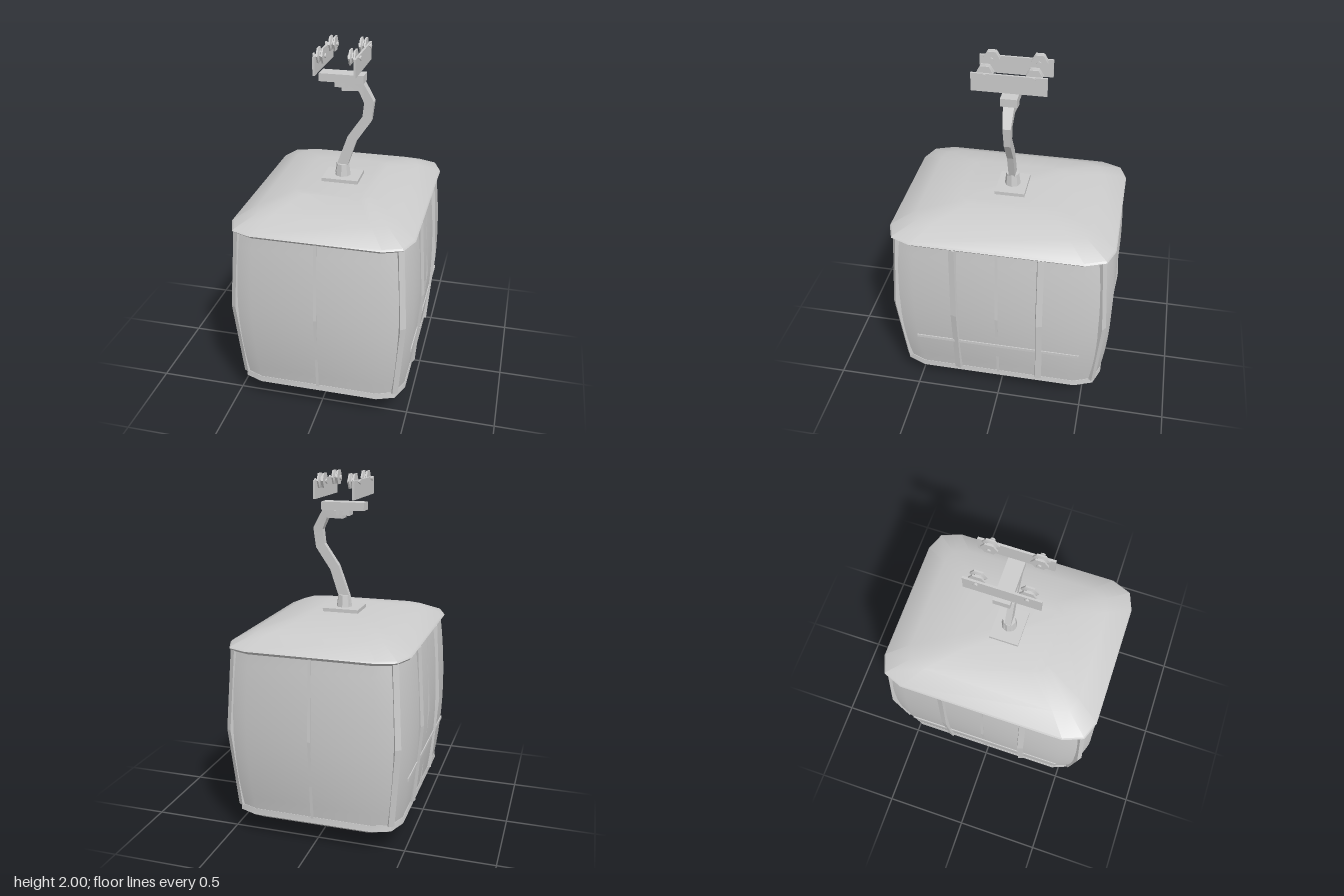
import * as THREE from 'three';
import { toCreasedNormals } from 'three/addons/utils/BufferGeometryUtils.js';

const mat = new THREE.MeshStandardMaterial({ color: 0xcccccc });

function add(parent, name, geo, x = 0, y = 0, z = 0) {
  const m = new THREE.Mesh(geo, mat);
  m.name = name;
  m.position.set(x, y, z);
  parent.add(m);
  return m;
}

// Closed skin over equal-length cross-sections, listed from bottom to top
function loft(sections, crease) {
  const pos = [];
  const tri = (...pts) => pts.forEach((p) => pos.push(p[0], p[1], p[2]));
  const n = sections[0].length;
  for (let s = 0; s < sections.length - 1; s++) {
    for (let i = 0; i < n; i++) {
      const j = (i + 1) % n, lo = sections[s], hi = sections[s + 1];
      tri(lo[i], lo[j], hi[j]);
      tri(lo[i], hi[j], hi[i]);
    }
  }
  const first = sections[0], last = sections[sections.length - 1];
  for (let i = 1; i < n - 1; i++) {
    tri(first[0], first[i + 1], first[i]);
    tri(last[0], last[i], last[i + 1]);
  }
  const geo = new THREE.BufferGeometry();
  geo.setAttribute('position', new THREE.Float32BufferAttribute(pos, 3));
  return toCreasedNormals(geo, crease);
}

// Rectangle with faceted corners at height y
function ring(hx, hz, y) {
  const k = hx / 0.51;
  const a = [hx - 0.15 * k, hz], b = [hx - 0.045 * k, hz - 0.04 * k], c = [hx, hz - 0.155 * k];
  const quarters = [[a, b, c, 1, 1], [c, b, a, 1, -1], [a, b, c, -1, -1], [c, b, a, -1, 1]];
  return quarters.flatMap(([p, q, r, sx, sz]) => [p, q, r].map((v) => [v[0] * sx, y, v[1] * sz]));
}

// How far the bulging walls draw in at height y
const drawIn = (y) => (y < 0.64 ? 0.037 * ((0.64 - y) / 0.46) ** 2 : 0.027 * ((y - 0.64) / 0.45) ** 2);

// Kinked post: (x, z) at mid height, turned to face angle, drawn in along (dx, dz)
function post(x, z, angle, w, d, dx, dz) {
  const c = Math.cos(angle), s = Math.sin(angle);
  return loft([0.175, 0.64, 1.095].map((y) => {
    const f = drawIn(y);
    return [[-w, d], [w, d], [w, -d], [-w, -d]].map(([u, v]) =>
      [x - f * dx + u * c + v * s, y, z - f * dz - u * s + v * c]);
  }), 0.1);
}

function lathe(points, sides) {
  const geo = new THREE.LatheGeometry(points.map((p) => new THREE.Vector2(...p)), sides);
  return toCreasedNormals(geo, 0.5);
}

export function createModel() {
  const model = new THREE.Group();
  model.name = 'cableCarCabin';

  // Cabin shell
  const levels = [];
  for (let i = 0; i <= 12; i++) {
    const y = 0.17 + (0.93 * i) / 12, f = drawIn(y);
    levels.push(ring(0.512 - f, 0.637 - f, y));
  }
  add(model, 'cabinWalls', loft(levels, 0.8));
  add(model, 'floorPan', loft([
    ring(0.43, 0.555, 0.11), ring(0.48, 0.605, 0.145), ring(0.477, 0.602, 0.18),
  ], 0.5));
  add(model, 'roof', loft([
    ring(0.49, 0.615, 1.088), ring(0.507, 0.632, 1.105), ring(0.5, 0.625, 1.115),
    ring(0.385, 0.495, 1.172), ring(0.22, 0.275, 1.215),
  ], 0.6));

  // Posts around the cabin
  const posts = new THREE.Group();
  posts.name = 'posts';
  model.add(posts);
  for (const sx of [1, -1]) {
    for (const sz of [1, -1]) {
      const turn = (a) => Math.atan2(sx * Math.sin(a), sz * Math.cos(a));
      add(posts, 'cornerPost', post(sx * 0.468, sz * 0.594, turn(0.6), 0.017, 0.017, sx, sz));
      add(posts, 'sidePost', post(sx * 0.516, sz * 0.242, turn(1.25), 0.018, 0.014, sx, 0));
    }
    add(posts, 'sideCentrePost', post(sx * 0.511, 0, sx * Math.PI / 2, 0.008, 0.009, sx, 0));
    add(posts, 'endCentrePost', post(0, sx * 0.637, sx > 0 ? 0 : Math.PI, 0.008, 0.009, 0, sx));
    add(model, 'sideRail', new THREE.BoxGeometry(0.01, 0.018, 0.96), sx * 0.5045, 0.42, 0);
  }

  // Knob under the floor
  add(model, 'floorKnob', lathe([
    [0, 0], [0.008, 0], [0.009, 0.017], [0.024, 0.02], [0.041, 0.04], [0.041, 0.06],
    [0.033, 0.08], [0.06, 0.082], [0.042, 0.112], [0, 0.112],
  ], 8));

  // Hanger foot
  add(model, 'footPlate', new THREE.BoxGeometry(0.21, 0.022, 0.17), 0, 1.224, 0);
  add(model, 'footSocket', lathe([[0, 0], [0.046, 0], [0.037, 0.07], [0, 0.07]], 8), 0, 1.234, 0);

  // Bent arm: x, y, half width across the bend, half depth
  const path = [
    [-0.01, 1.24, 0.03, 0.018], [0, 1.3, 0.03, 0.018], [0.055, 1.46, 0.028, 0.018],
    [0.14, 1.585, 0.028, 0.018], [0.152, 1.682, 0.028, 0.022], [0.108, 1.768, 0.026, 0.03],
    [0, 1.765, 0.022, 0.036],
  ];
  const arm = path.map(([x, y, w, d], i) => {
    const p = path[Math.max(i - 1, 0)], q = path[Math.min(i + 1, path.length - 1)];
    const len = Math.hypot(q[0] - p[0], q[1] - p[1]);
    const nx = (w * (q[1] - p[1])) / len, ny = (-w * (q[0] - p[0])) / len;
    return [[-1, d], [1, d], [1, -d], [-1, -d]].map(([s, z]) => [x + s * nx, y + s * ny, z]);
  });
  add(model, 'hangerArm', loft(arm, 0.1));
  add(model, 'hangerPlate', new THREE.BoxGeometry(0.25, 0.045, 0.09), 0, 1.813, 0);
  add(model, 'hangerPad', new THREE.BoxGeometry(0.08, 0.03, 0.07), 0, 1.776, 0);

  // Carriage: side plates with grooved rollers
  const wheel = lathe([
    [0, -0.018], [0.046, -0.018], [0.046, -0.009], [0.028, -0.003],
    [0.028, 0.003], [0.046, 0.009], [0.046, 0.018], [0, 0.018],
  ], 6);
  for (const sx of [1, -1]) {
    const carriage = new THREE.Group();
    carriage.name = 'carriage';
    model.add(carriage);
    add(carriage, 'carriagePlate', new THREE.BoxGeometry(0.012, 0.1, 0.4), sx * 0.11, 1.915, 0);
    for (const z of [0.128, -0.128]) {
      add(carriage, 'roller', wheel, sx * 0.087, 1.96, z).rotation.z = Math.PI / 2;
      const axle = new THREE.CylinderGeometry(0.006, 0.006, 0.07, 8);
      add(carriage, 'axle', axle, sx * 0.095, 1.957, z).rotation.z = Math.PI / 2;
      for (const x of [0.127, 0.062]) {
        const nut = new THREE.CylinderGeometry(0.013, 0.013, 0.008, 8);
        add(carriage, 'axleNut', nut, sx * x, 1.957, z).rotation.z = Math.PI / 2;
      }
    }
  }
  return model;
}
